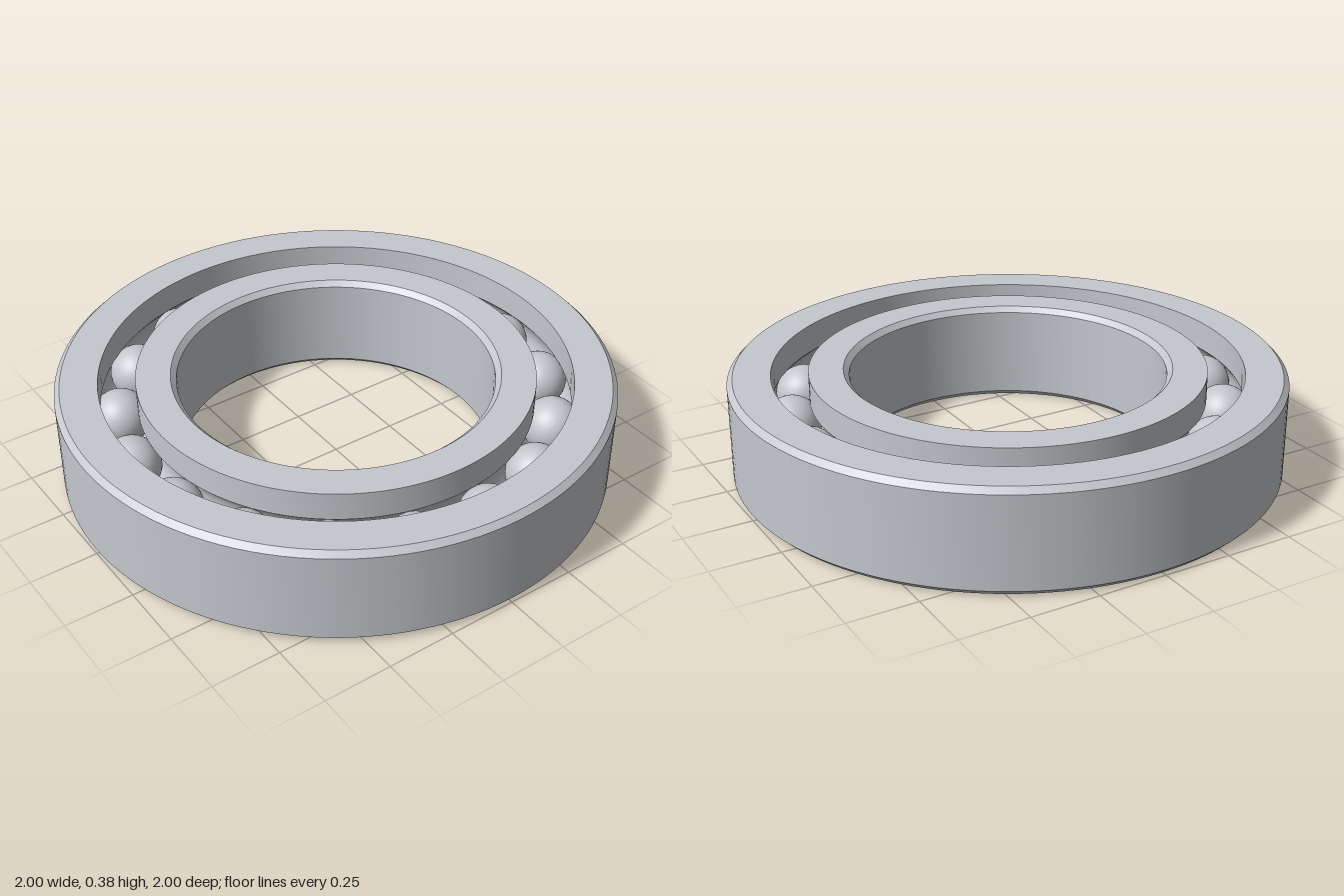
import * as THREE from 'three';
import { toCreasedNormals } from 'three/addons/utils/BufferGeometryUtils.js';

const HEIGHT = 0.375, MID = HEIGHT / 2, CHAMFER = 0.02;
const BORE = 0.57, INNER_LAND = 0.714, OUTER_LAND = 0.846;
const PITCH = 0.78, BALL_RADIUS = 0.105, BALL_COUNT = 17;

// Arc of the ball groove, centred on the pitch circle
function groove(from, to, steps = 14) {
  return Array.from({ length: steps + 1 }, (_, i) => {
    const a = from + (to - from) * i / steps;
    return [PITCH + BALL_RADIUS * Math.cos(a), MID + BALL_RADIUS * Math.sin(a)];
  });
}

// Revolves a closed, counterclockwise profile
function ring(name, profile, material) {
  const points = [...profile, profile[0]].map(([r, y]) => new THREE.Vector2(r, y));
  const geometry = toCreasedNormals(new THREE.LatheGeometry(points, 128), 0.5);
  const mesh = new THREE.Mesh(geometry, material);
  mesh.name = name;
  return mesh;
}

export function createModel() {
  const steel = new THREE.MeshStandardMaterial({ color: 0xc4c8cd });
  steel.name = 'steel';
  const model = new THREE.Group();
  model.name = 'ballBearing';

  // Outer ring: chamfered rim, groove on its inside
  const outerAngle = Math.acos((OUTER_LAND - PITCH) / BALL_RADIUS);
  model.add(ring('outerRing', [
    [OUTER_LAND, 0], [1 - CHAMFER, 0], [1, CHAMFER],
    [1, HEIGHT - CHAMFER], [1 - CHAMFER, HEIGHT], [OUTER_LAND, HEIGHT],
    ...groove(outerAngle, -outerAngle),
  ], steel));

  // Inner ring: chamfered bore, groove on its outside
  const innerAngle = Math.acos((PITCH - INNER_LAND) / BALL_RADIUS);
  model.add(ring('innerRing', [
    [BORE, CHAMFER], [BORE + CHAMFER, 0], [INNER_LAND, 0],
    ...groove(Math.PI + innerAngle, Math.PI - innerAngle),
    [INNER_LAND, HEIGHT], [BORE + CHAMFER, HEIGHT], [BORE, HEIGHT - CHAMFER],
  ], steel));

  // Balls, evenly spaced starting on +x
  const balls = new THREE.Group();
  balls.name = 'balls';
  const ballGeometry = new THREE.SphereGeometry(BALL_RADIUS, 32, 20);
  for (let i = 0; i < BALL_COUNT; i++) {
    const a = i / BALL_COUNT * Math.PI * 2;
    const ball = new THREE.Mesh(ballGeometry, steel);
    ball.name = 'ball';
    ball.position.set(PITCH * Math.cos(a), MID, PITCH * Math.sin(a));
    balls.add(ball);
  }
  model.add(balls);
  return model;
}
